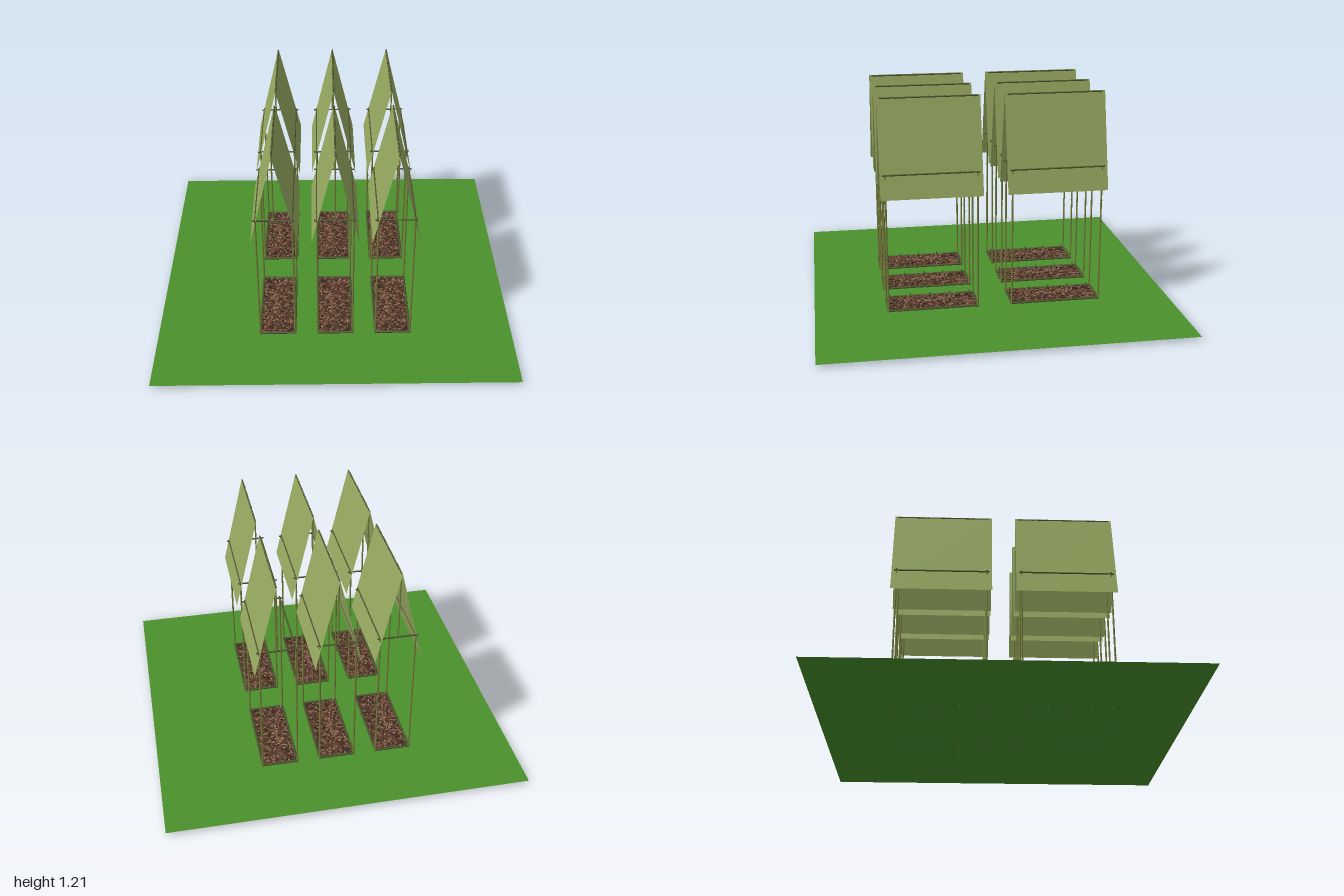
import * as THREE from 'three';
import { mergeGeometries } from 'three/addons/utils/BufferGeometryUtils.js';

const mat = (name, color, side = THREE.FrontSide) => {
  const m = new THREE.MeshStandardMaterial({ color, side });
  m.name = name;
  return m;
};

// Round pole between two points
function pole(a, b, r, sides = 8) {
  const from = new THREE.Vector3(...a), to = new THREE.Vector3(...b);
  const dir = to.clone().sub(from);
  const g = new THREE.CylinderGeometry(r, r, dir.length(), sides);
  g.applyQuaternion(new THREE.Quaternion().setFromUnitVectors(new THREE.Vector3(0, 1, 0), dir.normalize()));
  const mid = from.add(to).multiplyScalar(0.5);
  return g.translate(mid.x, mid.y, mid.z);
}

// Bamboo cane: a pole with slightly thicker joints
function cane(a, b, r, joints = 6) {
  const parts = [pole(a, b, r)];
  const at = t => a.map((v, i) => v + (b[i] - v) * t);
  for (let i = 1; i < joints; i++) parts.push(pole(at(i / joints - 0.004), at(i / joints + 0.004), r * 1.25));
  return mergeGeometries(parts);
}

export function createModel() {
  const grass = mat('grass green', 0x4a912c, THREE.DoubleSide);
  const thatch = mat('roof olive', 0x98aa61, THREE.DoubleSide);
  const bamboo = mat('bamboo', 0x77803c);
  const timber = mat('dark bamboo', 0x4f5530);
  const soil = mat('soil brown', 0x4f3526, THREE.DoubleSide);
  const chipMats = [mat('dark chip', 0x33241c), mat('red chip', 0x7a4a36), mat('pale chip', 0x94735c)];

  let seed = 7;
  const rand = () => (seed = (seed * 16807) % 2147483647) / 2147483647;

  const PX = 0.098, PZ = 0.25, GROUND = 0.018, BEAM = 0.805, RIDGE = 1.21;
  const model = new THREE.Group();
  model.name = 'gardenShelters';
  const add = (parent, name, geometry, material) => {
    const mesh = new THREE.Mesh(geometry, material);
    mesh.name = name;
    parent.add(mesh);
  };

  add(model, 'lawn', new THREE.PlaneGeometry(2, 2).rotateX(-Math.PI / 2).translate(0, GROUND, 0), grass);

  // Frame geometry shared by all shelters
  const posts = [], beams = [], rails = [], stakes = [], roof = [];
  for (const s of [-1, 1]) {
    for (const e of [-1, 1]) posts.push(cane([s * PX, GROUND, e * PZ], [s * PX, BEAM, e * PZ], 0.005, 8));
    // King post and tie beam at each end
    posts.push(cane([0, BEAM, s * PZ], [0, RIDGE - 0.008, s * PZ], 0.004, 4));
    beams.push(cane([-0.113, BEAM, s * PZ], [0.113, BEAM, s * PZ], 0.0045, 3));
    // Eaves beam along each side
    beams.push(cane([s * PX, BEAM, -0.265], [s * PX, BEAM, 0.265], 0.0045));
    // Bed edging with its stakes
    rails.push(cane([s * PX, 0.027, -PZ], [s * PX, 0.027, PZ], 0.0065));
    rails.push(cane([-PX, 0.027, s * PZ], [PX, 0.027, s * PZ], 0.0065, 3));
    for (let i = -2; i <= 2; i++) stakes.push(pole([s * 0.09, 0, i * 0.114], [s * 0.09, 0.046, i * 0.114], 0.003, 6));
    // Sloping roof sheet
    const sheet = new THREE.BufferGeometry();
    const e = [s * 0.128, 0.675];
    sheet.setAttribute('position', new THREE.Float32BufferAttribute(
      [0, RIDGE, -s * 0.279, 0, RIDGE, s * 0.279, ...e, s * 0.279, ...e, -s * 0.279], 3));
    sheet.setIndex([0, 1, 2, 0, 2, 3]);
    sheet.computeVertexNormals();
    roof.push(sheet);
  }
  beams.push(cane([0, RIDGE - 0.006, -0.265], [0, RIDGE - 0.006, 0.265], 0.0045));
  const parts = [
    ['posts', mergeGeometries(posts), bamboo], ['beams', mergeGeometries(beams), timber],
    ['bedEdging', mergeGeometries(rails), timber], ['stakes', mergeGeometries(stakes), timber],
    ['roof', mergeGeometries(roof), thatch],
    ['soil', new THREE.PlaneGeometry(2 * PX, 2 * PZ).rotateX(-Math.PI / 2).translate(0, 0.025, 0), soil],
  ];

  // Scattered mulch chips in three shades
  chipMats.forEach((m, k) => {
    const chips = [];
    for (let i = 0; i < 170; i++) {
      const g = new THREE.BoxGeometry(0.008 + rand() * 0.012, 0.003, 0.004 + rand() * 0.005);
      g.rotateZ((rand() - 0.5) * 0.6).rotateY(rand() * Math.PI);
      chips.push(g.translate((rand() - 0.5) * 0.178, 0.026 + rand() * 0.005, (rand() - 0.5) * 0.48));
    }
    parts.push(['mulch' + ['Dark', 'Red', 'Pale'][k], mergeGeometries(chips), m]);
  });

  // Two rows of three shelters
  for (const x of [-0.325, 0, 0.325]) for (const z of [-0.346, 0.346]) {
    const shelter = new THREE.Group();
    shelter.name = 'shelter';
    shelter.position.set(x, 0, z);
    for (const [name, geometry, material] of parts) add(shelter, name, geometry, material);
    model.add(shelter);
  }
  return model;
}
